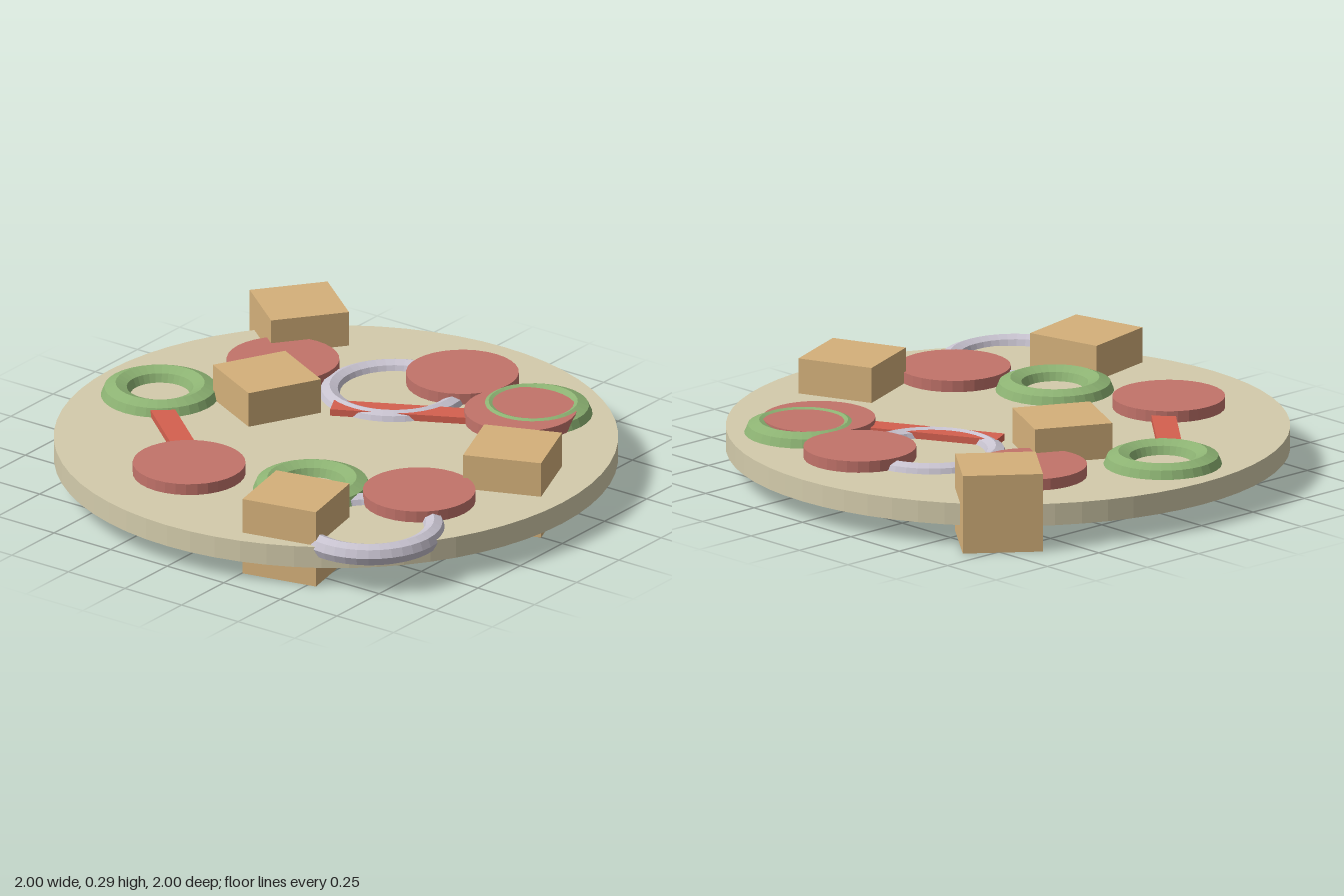
import * as THREE from 'three';

const paint = (name, color) => {
  const m = new THREE.MeshStandardMaterial({ color, flatShading: true });
  m.name = name;
  return m;
};

export function createModel() {
  const group = new THREE.Group();
  const crust = paint('pale crust', 0xd3cbab);
  const meat = paint('salami red', 0xc2736a);
  const pepper = paint('pepper red', 0xd4604f);
  const olive = paint('olive green', 0x8db373);
  const onion = paint('onion lilac', 0xc8c3d0);
  const pineapple = paint('pineapple tan', 0xd4b07a);

  // Places one part; turn is in degrees about the vertical axis
  const add = (name, geometry, material, x, y, z, turn = 0) => {
    const mesh = new THREE.Mesh(geometry, material);
    mesh.name = name;
    mesh.position.set(x, y, z);
    mesh.rotation.y = THREE.MathUtils.degToRad(turn);
    group.add(mesh);
  };

  // Round base
  add('base', new THREE.CylinderGeometry(1, 1, 0.08, 64), crust, 0, 0.117, 0);

  // Salami discs
  const disc = new THREE.CylinderGeometry(0.2, 0.2, 0.057, 32);
  [[-0.51, -0.37], [0.07, -0.655], [0.435, -0.51], [-0.22, 0.575], [0.58, 0.285]]
    .forEach(([x, z]) => add('salamiSlice', disc, meat, x, 0.17, z));

  // Thick olive rings lying flat
  const oliveRing = new THREE.TorusGeometry(0.158, 0.056, 8, 32).rotateX(-Math.PI / 2);
  [[-0.725, 0.07], [0.215, 0.43], [0.435, -0.585]]
    .forEach(([x, z]) => add('oliveRing', oliveRing, olive, x, 0.148, z));

  // Thin onion rings lying flat
  const onionRing = new THREE.TorusGeometry(0.23, 0.041, 8, 40).rotateX(-Math.PI / 2);
  [[-0.07, -0.44], [0.58, 0.58]]
    .forEach(([x, z]) => add('onionRing', onionRing, onion, x, 0.147, z));

  // Pepper strips
  const strip = new THREE.BoxGeometry(0.57, 0.043, 0.086);
  [[-0.42, 0.37, -39.6], [0.105, -0.307, 27.6]]
    .forEach(([x, z, turn]) => add('pepperStrip', strip, pepper, x, 0.16, z, turn));

  // Pineapple cubes, reaching through the base
  const cube = new THREE.BoxGeometry(0.286, 0.286, 0.286);
  [[-0.652, -0.657, -37.9], [-0.362, -0.076, -27], [0.722, -0.078, 21.6], [0.3625, 0.7225, 12]]
    .forEach(([x, z, turn]) => add('pineappleChunk', cube, pineapple, x, 0.143, z, turn));

  return group;
}
